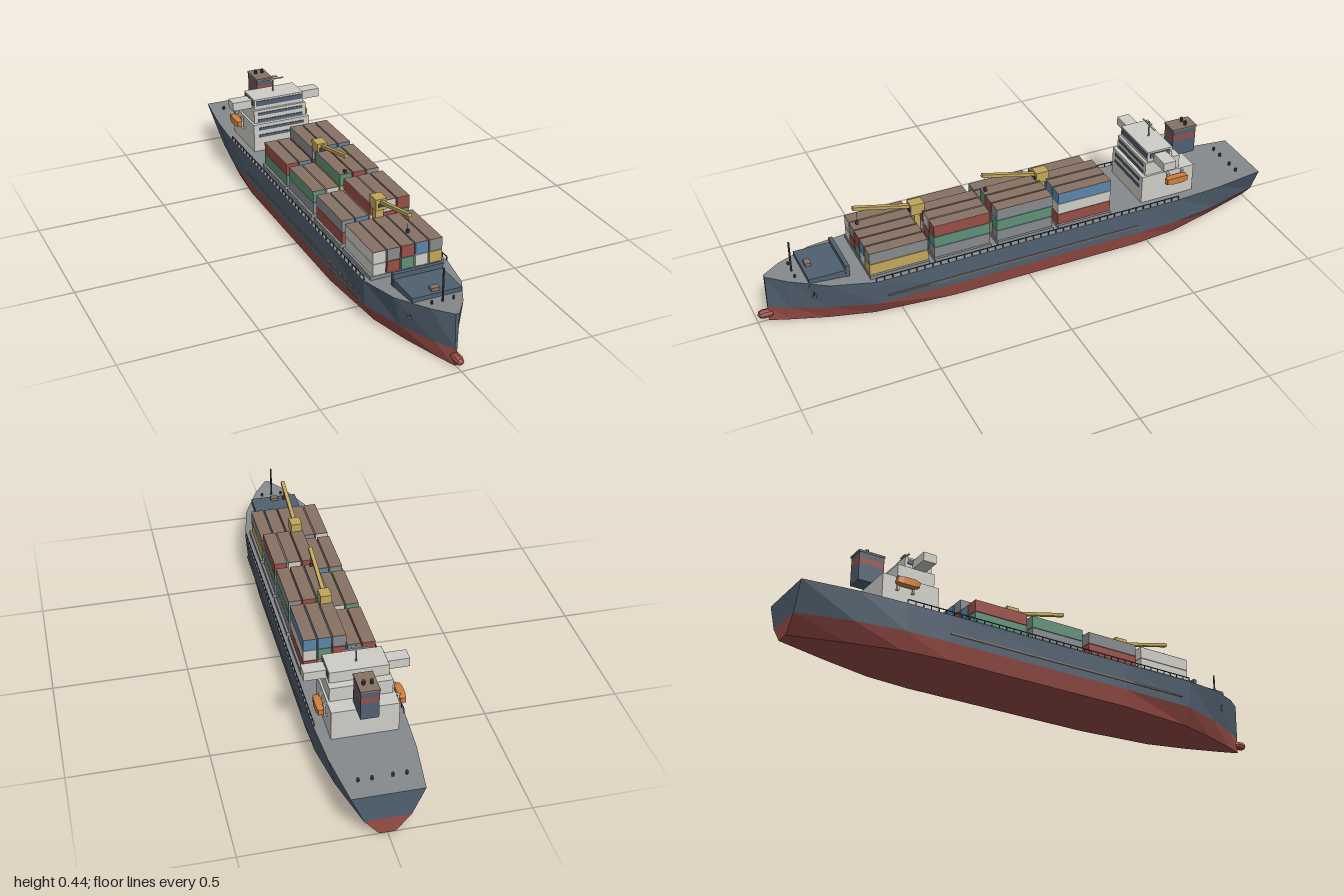
import * as THREE from 'three';

const mat = (name, color) => Object.assign(new THREE.MeshStandardMaterial({ color, flatShading: true }), { name });
const M = {
  navy: mat('navy hull', 0x50606f), red: mat('oxide red', 0x9a4e47), grey: mat('deck grey', 0x868a8d),
  white: mat('off white', 0xcfcdc7), yellow: mat('crane yellow', 0xc2a75b), orange: mat('lifeboat orange', 0xcf7f3c),
  green: mat('container green', 0x5f9079), blue: mat('container blue', 0x5a86a8),
  brown: mat('roof brown', 0x887164), dark: mat('dark metal', 0x3d444c),
};

function add(parent, name, geo, material, x = 0, y = 0, z = 0) {
  const m = new THREE.Mesh(geo, material);
  m.name = name;
  m.position.set(x, y, z);
  parent.add(m);
  return m;
}
// Box given by its extents on each axis
function box(parent, name, material, x0, x1, y0, y1, z0, z1) {
  return add(parent, name, new THREE.BoxGeometry(x1 - x0, y1 - y0, z1 - z0), material,
    (x0 + x1) / 2, (y0 + y1) / 2, (z0 + z1) / 2);
}
function post(parent, name, material, r, x, y0, y1, z, sides = 8) {
  return add(parent, name, new THREE.CylinderGeometry(r, r, y1 - y0, sides), material, x, (y0 + y1) / 2, z);
}

// Hull stations: z, half widths at keel, waterline and deck, deck height
const STATIONS = [
  [-1, 0.027, 0.08, 0.125, 0.168], [-0.8, 0.085, 0.13, 0.151, 0.167], [-0.62, 0.13, 0.157, 0.161, 0.166],
  [-0.45, 0.145, 0.161, 0.161, 0.166], [0.3, 0.145, 0.161, 0.161, 0.166], [0.6, 0.118, 0.152, 0.161, 0.166],
  [0.76, 0.075, 0.1, 0.127, 0.178], [0.89, 0.03, 0.043, 0.06, 0.191], [0.96, 0.003, 0.004, 0.007, 0.197],
];
const WATER = 0.0625;

function hull(parent) {
  const faces = { red: [], navy: [], grey: [] };
  const quad = (key, a, b, c, d) => faces[key].push(...a, ...b, ...c, ...a, ...c, ...d);
  const flip = p => [-p[0], p[1], p[2]];
  const ring = ([z, k, w, d, y]) => [[k, 0, z], [w, WATER, z], [d, y, z]];
  const rings = STATIONS.map(ring);
  for (let i = 0; i < rings.length - 1; i++) {
    const a = rings[i], b = rings[i + 1];
    ['red', 'navy'].forEach((key, j) => {
      quad(key, a[j], a[j + 1], b[j + 1], b[j]);
      quad(key, flip(b[j]), flip(b[j + 1]), flip(a[j + 1]), flip(a[j]));
    });
    quad('grey', flip(a[2]), flip(b[2]), b[2], a[2]);
    quad('red', a[0], b[0], flip(b[0]), flip(a[0]));
  }
  // Transom and stem
  const s = rings[0], t = rings[rings.length - 1];
  ['red', 'navy'].forEach((key, j) => {
    quad(key, flip(s[j]), flip(s[j + 1]), s[j + 1], s[j]);
    quad(key, t[j], t[j + 1], flip(t[j + 1]), flip(t[j]));
  });
  const names = { red: 'lowerHull', navy: 'upperHull', grey: 'deck' };
  for (const key in faces) {
    const g = new THREE.BufferGeometry();
    g.setAttribute('position', new THREE.Float32BufferAttribute(faces[key], 3));
    g.computeVertexNormals();
    add(parent, names[key], g, M[key]);
  }
  // Bulbous bow
  const prof = [[0, -0.07], [0.016, -0.05], [0.017, -0.02], [0.013, -0.007], [0, 0]].map(p => new THREE.Vector2(...p));
  add(parent, 'bulbousBow', new THREE.LatheGeometry(prof, 8), M.red, 0, 0.032, 1).rotation.x = Math.PI / 2;
}

// Containers: per bay, five columns from -x to +x, colours from bottom to top
const C = { w: 'white', g: 'grey', r: 'red', b: 'blue', y: 'yellow', n: 'green' };
const BAYS = [
  [-0.34, -0.12, ['nr', 'gb', 'wrg', 'ynb', 'rwb']],
  [-0.1, 0.125, ['gn', 'rw', 'byn', 'wgr', 'gng']],
  [0.15, 0.37, ['rg', 'nb', 'gwr', 'brw', 'gnr']],
  [0.39, 0.615, ['ww', 'rg', 'nr', 'wb', 'yg']],
];
function cargo(parent) {
  const H = 0.045, W = 0.048, base = 0.181;
  BAYS.forEach(([z0, z1, columns]) => {
    const bay = new THREE.Group();
    bay.name = 'containerBay';
    parent.add(bay);
    box(bay, 'hatchCover', M.grey, -0.14, 0.14, 0.16, base, z0, z1);
    columns.forEach((stack, i) => {
      const x = (i - 2) * 0.0535;
      [...stack].forEach((c, j) => {
        const y = base + j * H;
        box(bay, 'container', M[C[c]], x - W / 2, x + W / 2, y, y + H - 0.002, z0 + 0.002, z1 - 0.002);
      });
      const top = base + stack.length * H;
      box(bay, 'containerRoof', M.brown, x - W / 2, x + W / 2, top - 0.002, top, z0 + 0.002, z1 - 0.002);
    });
  });
}

function crane(parent, z) {
  const g = new THREE.Group();
  g.name = 'deckCrane';
  g.position.z = z;
  parent.add(g);
  box(g, 'cranePedestal', M.yellow, -0.016, 0.016, 0.165, 0.31, -0.011, 0.011);
  box(g, 'craneHouse', M.yellow, -0.021, 0.021, 0.305, 0.348, -0.027, 0.025);
  box(g, 'craneCabWindow', M.dark, -0.012, 0.012, 0.318, 0.332, 0.025, 0.028);
  // Boom rising forward
  const from = new THREE.Vector3(0, 0.333, 0.01), to = new THREE.Vector3(0, 0.387, 0.235);
  const boom = add(g, 'craneBoom', new THREE.BoxGeometry(0.014, 0.012, from.distanceTo(to)), M.yellow);
  boom.position.copy(from).add(to).multiplyScalar(0.5);
  boom.rotation.x = -Math.atan2(to.y - from.y, to.z - from.z);
  post(g, 'hoistCable', M.dark, 0.0008, 0, 0.325, 0.382, 0.222, 4);
  box(g, 'hook', M.dark, -0.005, 0.005, 0.315, 0.328, 0.217, 0.227);
}

function superstructure(parent) {
  const g = new THREE.Group();
  g.name = 'superstructure';
  parent.add(g);
  box(g, 'accommodationBlock', M.white, -0.118, 0.118, 0.16, 0.28, -0.7, -0.48);
  box(g, 'upperBlock', M.white, -0.11, 0.11, 0.28, 0.334, -0.64, -0.495);
  box(g, 'bridge', M.white, -0.104, 0.104, 0.334, 0.376, -0.61, -0.505);
  box(g, 'bridgeFrontWindow', M.navy, -0.098, 0.098, 0.349, 0.369, -0.506, -0.502);
  [0.225, 0.255].forEach(y => box(g, 'windowRow', M.navy, -0.095, 0.095, y, y + 0.011, -0.482, -0.477));
  [0.284, 0.312].forEach(y => box(g, 'windowRow', M.navy, -0.095, 0.095, y, y + 0.011, -0.497, -0.492));
  for (const s of [-1, 1]) {
    const side = (name, m, a, b, ...r) => box(g, name, m, Math.min(s * a, s * b), Math.max(s * a, s * b), ...r);
    side('bridgeWing', M.white, 0.1, 0.184, 0.333, 0.367, -0.58, -0.53);
    side('bridgeSideWindow', M.navy, 0.103, 0.107, 0.349, 0.369, -0.6, -0.515);
    // Lifeboat: box narrowed towards its ends
    const geo = new THREE.BoxGeometry(0.026, 0.027, 0.086, 1, 1, 4), p = geo.attributes.position;
    for (let i = 0; i < p.count; i++) {
      if (Math.abs(p.getZ(i)) > 0.04) { p.setX(i, p.getX(i) * 0.7); p.setY(i, p.getY(i) * 0.75); }
    }
    geo.computeVertexNormals();
    add(g, 'lifeboat', geo, M.orange, s * 0.142, 0.253, -0.615);
    [-0.645, -0.585].forEach(z => {
      side('davitArm', M.white, 0.115, 0.134, 0.272, 0.278, z - 0.004, z + 0.004);
      side('davitPost', M.white, 0.124, 0.13, 0.225, 0.278, z - 0.004, z + 0.004);
      side('davitFoot', M.white, 0.115, 0.13, 0.225, 0.231, z - 0.004, z + 0.004);
    });
  }
  // Funnel in stacked bands
  [['funnelBase', M.navy, 0.278, 0.345], ['funnelBand', M.red, 0.345, 0.366], ['funnelTop', M.navy, 0.366, 0.388]]
    .forEach(([n, m, y0, y1]) => box(g, n, m, -0.032, 0.032, y0, y1, -0.752, -0.655));
  box(g, 'funnelCap', M.brown, -0.034, 0.034, 0.388, 0.395, -0.755, -0.652);
  for (const x of [-0.014, 0.014]) post(g, 'exhaustPipe', M.dark, 0.006, x, 0.393, 0.411, -0.715);
  // Radar mast
  post(g, 'radarMast', M.grey, 0.003, 0, 0.375, 0.44, -0.565);
  box(g, 'radarArm', M.white, -0.045, 0.045, 0.424, 0.428, -0.568, -0.562);
  box(g, 'radarScanner', M.white, -0.018, 0.018, 0.433, 0.437, -0.569, -0.561);
}

function deckFittings(parent) {
  // Forecastle platform with breakwater
  box(parent, 'forecastlePlatform', M.navy, -0.092, 0.092, 0.165, 0.2, 0.68, 0.825);
  box(parent, 'breakwater', M.navy, -0.094, 0.094, 0.165, 0.219, 0.675, 0.69);
  box(parent, 'windlass', M.brown, -0.015, 0.015, 0.199, 0.212, 0.79, 0.812);
  post(parent, 'foremast', M.dark, 0.0035, 0, 0.185, 0.312, 0.86);
  for (const s of [-1, 1]) {
    box(parent, 'rubbingStrake', M.brown, s * 0.162 - 0.002, s * 0.162 + 0.002, 0.092, 0.098, -0.45, 0.56);
    box(parent, 'handrail', M.dark, s * 0.158 - 0.0015, s * 0.158 + 0.0015, 0.18, 0.183, -0.62, 0.6);
    for (let i = 0; i <= 40; i++) {
      const z = -0.62 + i * 0.0305;
      box(parent, 'railPost', M.dark, s * 0.158 - 0.0015, s * 0.158 + 0.0015, 0.164, 0.181, z - 0.0015, z + 0.0015);
    }
    // Anchors on the bow flare
    const anchor = new THREE.Group();
    anchor.name = 'anchor';
    anchor.position.set(s * 0.091, 0.13, 0.81);
    anchor.rotation.y = s * 0.95;
    parent.add(anchor);
    box(anchor, 'anchorShank', M.dark, -0.002, 0.002, -0.005, 0.014, -0.008, 0.004);
    box(anchor, 'anchorFlukes', M.brown, -0.008, 0.008, -0.012, -0.004, -0.008, 0.005);
    for (const x of [0.035, 0.082]) post(parent, 'sternBollard', M.dark, 0.005, s * x, 0.16, 0.181, -0.92);
    post(parent, 'bowBollard', M.dark, 0.004, s * 0.04, 0.18, 0.2, 0.86);
  }
}

export function createModel() {
  const ship = new THREE.Group();
  ship.name = 'containerShip';
  hull(ship);
  cargo(ship);
  crane(ship, 0.385);
  crane(ship, -0.11);
  superstructure(ship);
  deckFittings(ship);
  return ship;
}
